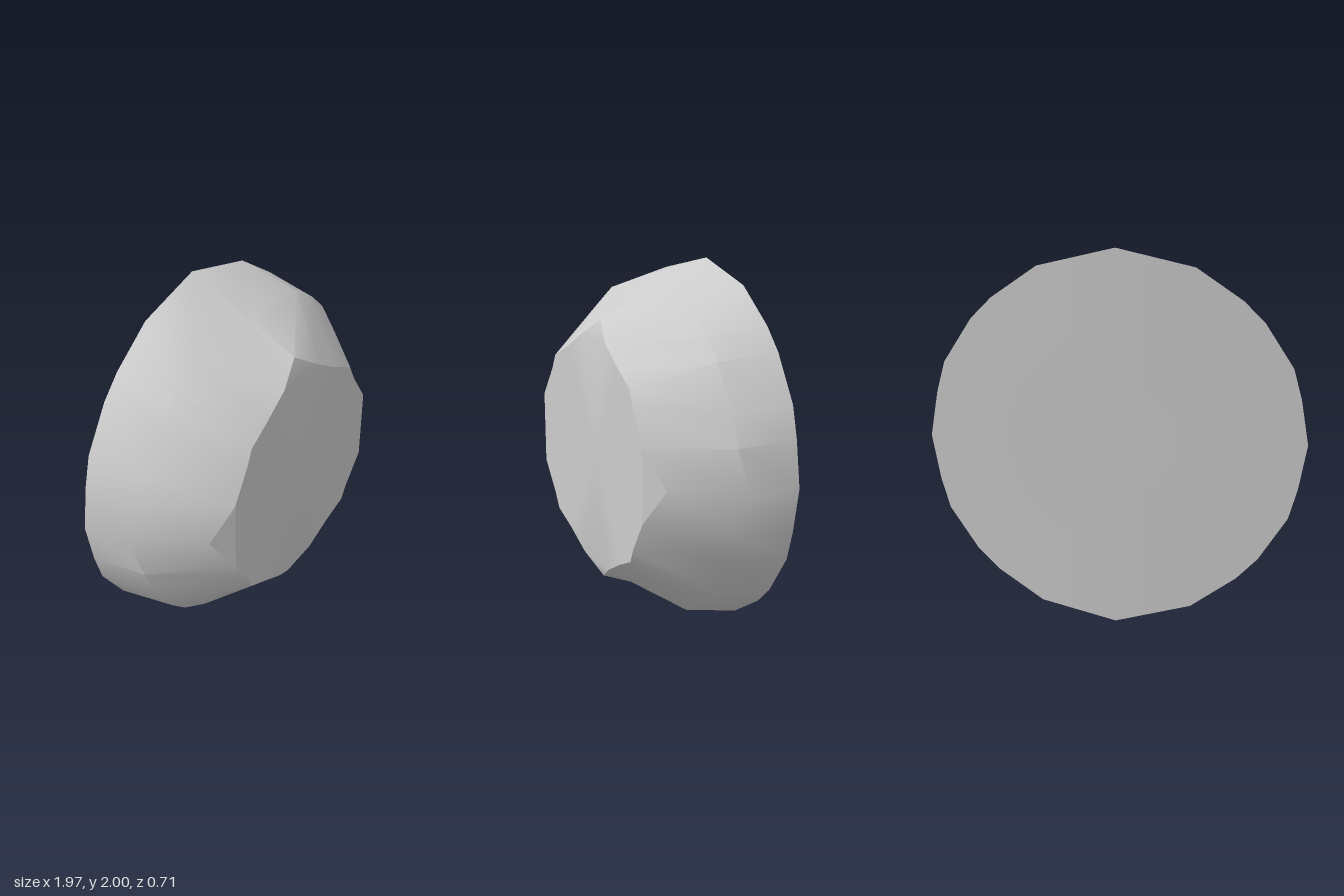
import * as THREE from 'three';
import { toCreasedNormals } from 'three/addons/utils/BufferGeometryUtils.js';

// Quarter outlines from the top corner round to the side corner: [x, y, z]
const backZ = (x) => -0.355 + 0.056 * x;
const backRim = [[0, 1], [0.4, 0.905], [0.64, 0.74], [0.75, 0.63], [0.9, 0.4], [0.945, 0.24], [0.987, 0]]
  .map(([x, y]) => [x, y, backZ(x)]);
const belly = [[0, 0.843, 0], [0.43, 0.81, 0], [0.6, 0.7, 0], [0.7, 0.6, 0], [0.84, 0.38, 0], [0.9, 0.22, 0], [0.94, 0, -0.05]];
const frontRim = [[0, 0.72, 0.28], [0.15, 0.62, 0.325], [0.31, 0.525, 0.335], [0.45, 0.455, 0.345],
  [0.49, 0.37, 0.348], [0.6, 0.2, 0.355], [0.715, 0, 0.28]];

// Mirror a quarter outline into a closed ring, clockwise from the front
function ring(q) {
  const out = [];
  for (let k = 0; k < 24; k++) {
    const quarter = Math.floor(k / 6), step = k % 6;
    const [x, y, z] = q[quarter % 2 ? 6 - step : step];
    out.push([quarter < 2 ? x : -x, 1 + (quarter === 1 || quarter === 2 ? -y : y), z]);
  }
  return out;
}

function mesh(name, triangles, material) {
  const g = new THREE.BufferGeometry();
  g.setAttribute('position', new THREE.Float32BufferAttribute(triangles.flat(), 3));
  const m = new THREE.Mesh(toCreasedNormals(g, 0.6), material);
  m.name = name;
  return m;
}

export function createModel() {
  const grey = new THREE.MeshStandardMaterial({ color: 0xcccccc });
  grey.name = 'light grey';
  const back = ring(backRim), mid = ring(belly), front = ring(frontRim);
  const n = back.length;

  // Rounded wall, back rim to belly to front rim
  const wall = [];
  for (const [a, b] of [[back, mid], [mid, front]]) {
    for (let k = 0; k < n; k++) {
      const j = (k + 1) % n;
      wall.push(a[k], b[k], a[j], b[k], b[j], a[j]);
    }
  }

  // Front face: shallow fan, with four bevelled corner triangles
  const face = [], centre = [0, 1, 0.315];
  for (let k = 0; k < n; k++) {
    const j = (k + 1) % n, i = (k + n - 1) % n;
    if (k % 6 === 0) face.push(centre, front[j], front[i], front[i], front[j], front[k]);
    else if (j % 6 !== 0) face.push(centre, front[j], front[k]);
  }

  // Back face, folded slightly along the vertical centre line
  const base = [], hub = [0, 1, backZ(0)];
  for (let k = 0; k < n; k++) base.push(hub, back[k], back[(k + 1) % n]);

  const group = new THREE.Group();
  group.name = 'roundedDisc';
  group.add(mesh('wall', wall, grey), mesh('frontFace', face, grey), mesh('backFace', base, grey));
  return group;
}
